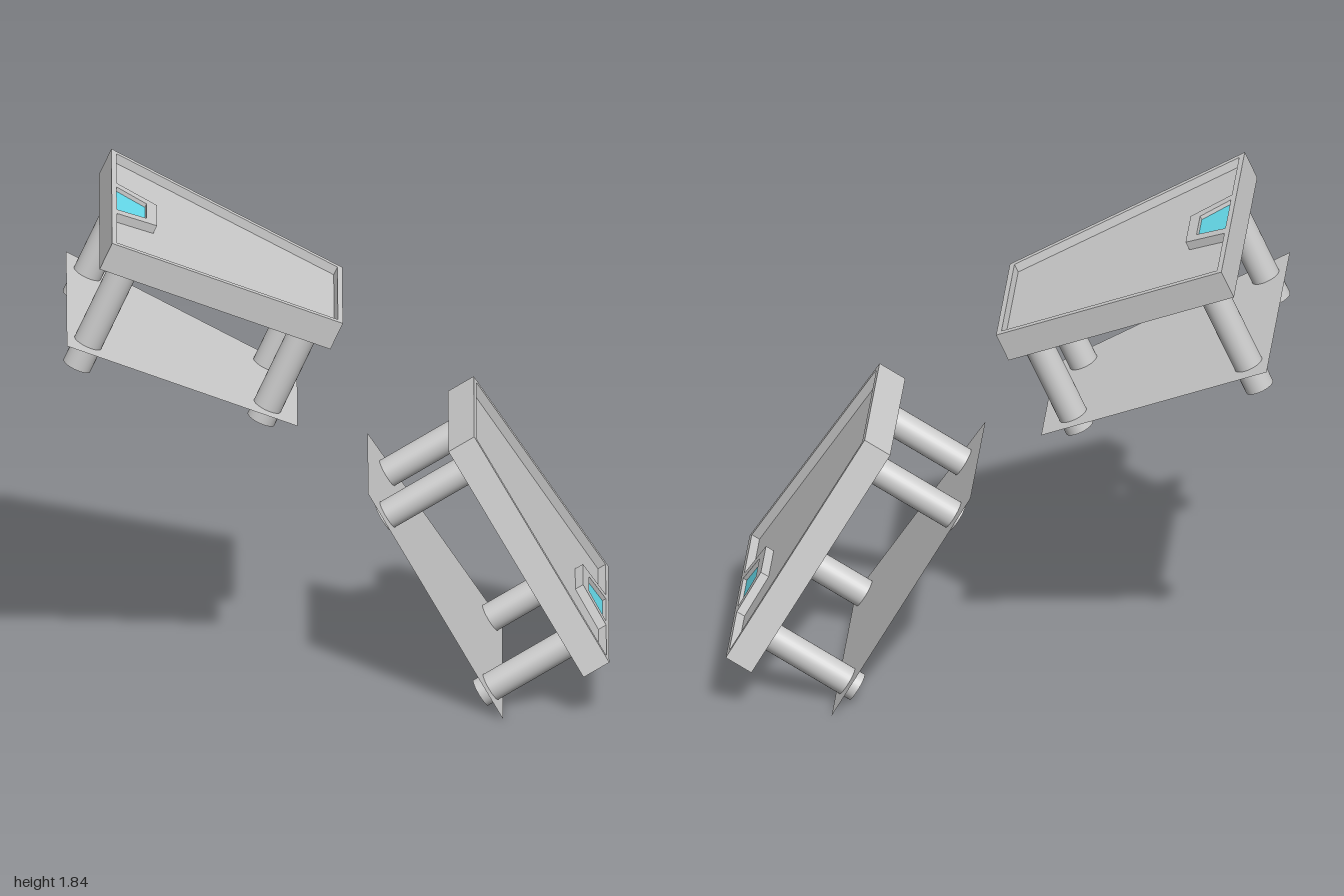
import * as THREE from 'three';

const grey = new THREE.MeshStandardMaterial({ color: 0xcccccc });
const thin = new THREE.MeshStandardMaterial({ color: 0xcccccc, side: THREE.DoubleSide });
const cyan = new THREE.MeshStandardMaterial({ color: 0x66ddee });

const THICK = 0.11, RIM = 0.033, LEG_R = 0.054;

const outline = (pts) => pts.map(([u, z]) => new THREE.Vector2(u, z));

// symmetric trapezoid from u0 (half-width h0) to u1 (half-width h1)
const trapezoid = (u0, h0, u1, h1) => outline([[u0, -h0], [u1, -h1], [u1, h1], [u0, h0]]);

function add(group, name, geometry, material) {
  const mesh = new THREE.Mesh(geometry, material);
  mesh.name = name;
  group.add(mesh);
  return mesh;
}

// extrudes a plan outline upwards from height y
function plate(points, holes, y, depth) {
  const shape = new THREE.Shape(points);
  shape.holes = holes.map((h) => new THREE.Path(h));
  return new THREE.ExtrudeGeometry(shape, { depth, bevelEnabled: false })
    .rotateX(-Math.PI / 2).translate(0, y, 0);
}

// x runs from the wide end to the narrow end, y = 0 is the underside of the top
function createTable({ name, length, wide, narrow, legDepths, shelf }) {
  const table = new THREE.Group();
  table.name = name;
  const half = (u) => wide + (narrow - wide) * u / length;
  const plan = trapezoid(0, wide, length, narrow);

  // table top with a raised rim and a flush console frame at the wide end
  add(table, 'tableTop', plate(plan, [], 0, THICK - RIM), grey);
  const a = 0.02, b = length - 0.02;
  const ha = half(a) - 0.025, hb = half(b) - 0.025;
  const recess = outline([[a, -ha], [b, -hb], [b, hb], [a, ha],
    [a, 0.165], [0.181, 0.112], [0.181, -0.112], [a, -0.165]]);
  const opening = trapezoid(a, 0.122, 0.14, 0.078);
  add(table, 'rimAndConsoleFrame', plate(plan, [recess, opening], THICK - RIM, RIM), grey);
  add(table, 'screen', plate(opening, [], THICK - RIM, 0.018), cyan);

  // legs, in mirrored pairs
  [[0.1, 0.377], [0.82, 0.226]].forEach(([u, z], i) => {
    const depth = legDepths[i], overlap = 0.02;
    for (const side of [-1, 1]) {
      const leg = add(table, i ? 'narrowEndLeg' : 'wideEndLeg',
        new THREE.CylinderGeometry(LEG_R, LEG_R, depth + overlap, 32), grey);
      leg.position.set(u, (overlap - depth) / 2, side * z);
    }
  });

  // thin lower shelf
  add(table, 'lowerShelf',
    new THREE.ShapeGeometry(new THREE.Shape(plan)).rotateX(-Math.PI / 2), thin)
    .position.set(0.015, -shelf, 0);
  return table;
}

export function createModel() {
  const model = new THREE.Group();
  model.name = 'tiltedTables';

  const upper = createTable({
    name: 'upperTable', length: 0.926, wide: 0.515, narrow: 0.306,
    legDepths: [0.418, 0.376], shelf: 0.32,
  });
  upper.position.set(-0.864, 1.741, 0);
  upper.rotation.z = -0.429;

  const lower = createTable({
    name: 'lowerTable', length: 0.943, wide: 0.525, narrow: 0.33,
    legDepths: [0.378, 0.355], shelf: 0.335,
  });
  lower.position.set(0.901, 0.163, 0);
  lower.rotation.set(0, Math.PI, -1.022, 'ZYX');

  model.add(upper, lower);
  return model;
}
